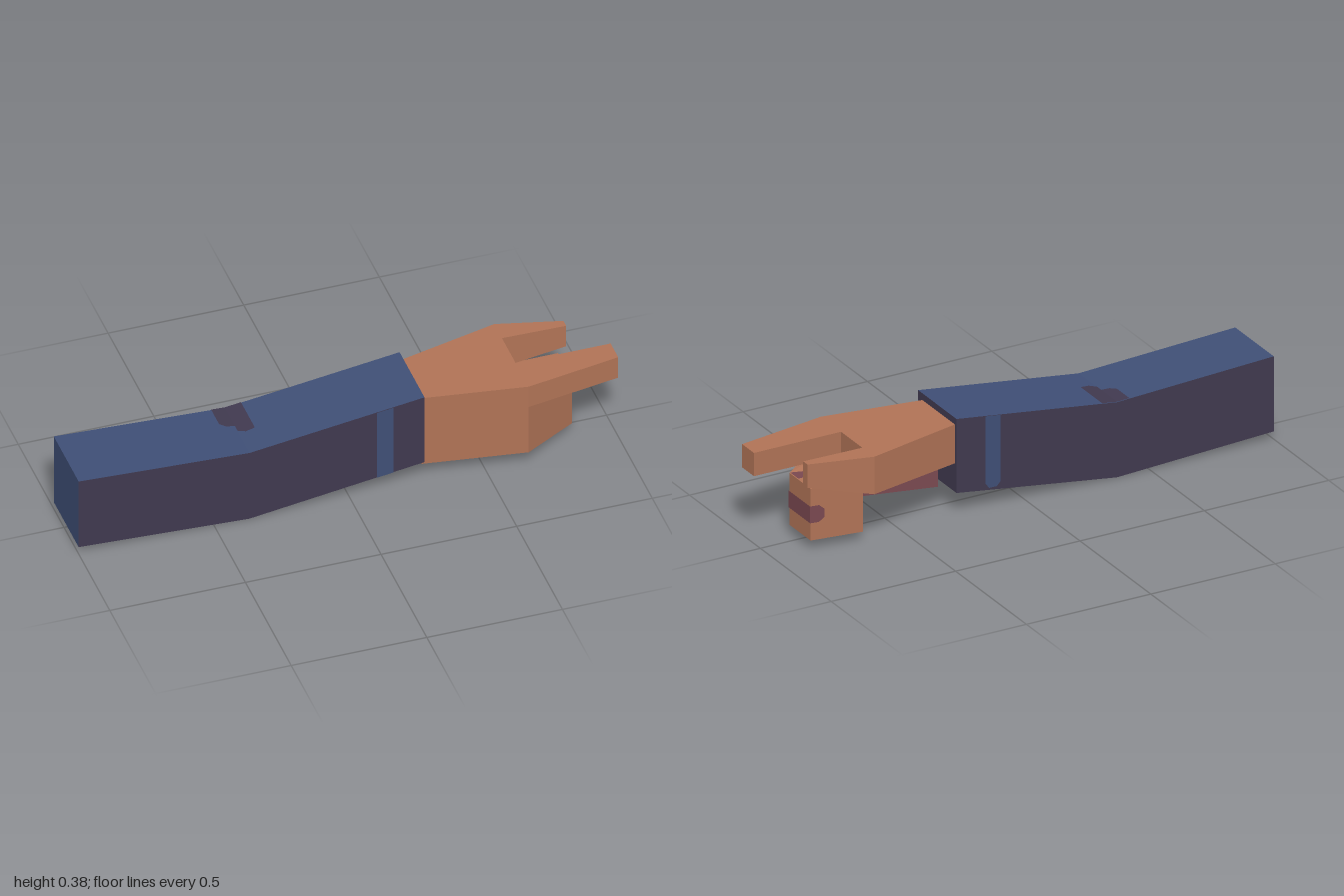
import * as THREE from 'three';

const paint = (name, color) => {
  const m = new THREE.MeshStandardMaterial({ color });
  m.name = name;
  return m;
};

// Faces (convex corner loops, counter-clockwise from outside) to a flat mesh
function faceMesh(name, faces, mats) {
  const pos = [];
  const geo = new THREE.BufferGeometry();
  for (const { loop, mat } of faces) {
    const start = pos.length / 3;
    for (let i = 1; i < loop.length - 1; i++) pos.push(...loop[0], ...loop[i], ...loop[i + 1]);
    geo.addGroup(start, pos.length / 3 - start, mat);
  }
  geo.setAttribute('position', new THREE.Float32BufferAttribute(pos, 3));
  geo.computeVertexNormals();
  const mesh = new THREE.Mesh(geo, mats);
  mesh.name = name;
  return mesh;
}

// Four-sided loft; each section runs +z top, +z bottom, -z bottom, -z top.
// slots: material index for +z side, bottom, -z side, top, start cap, end cap
function loft(name, sections, mats, slots = [0, 0, 0, 0, 0, 0]) {
  const faces = [];
  for (let s = 0; s < sections.length - 1; s++) {
    const a = sections[s], b = sections[s + 1];
    for (let i = 0; i < 4; i++) {
      const j = (i + 1) % 4;
      faces.push({ loop: [a[i], a[j], b[j], b[i]], mat: slots[i] });
    }
  }
  faces.push({ loop: [...sections[0]].reverse(), mat: slots[4] });
  faces.push({ loop: sections[sections.length - 1], mat: slots[5] });
  return faceMesh(name, faces, mats);
}

// Section at x: outer z, inner z, top y, bottom y at both sides
const section = (x, z1, z2, top, low1, low2 = low1) =>
  [[x, top, z1], [x, low1, z1], [x, low2, z2], [x, top, z2]];

export function createModel() {
  const skin = paint('skin', 0xb07356);
  const blue = paint('blue cloth', 0x3f4f76);
  const plum = paint('dark plum cloth', 0x40394f);
  const red = paint('dull red', 0x794850);
  const model = new THREE.Group();
  model.name = 'arm';

  // Bent sleeve: blue top and shoulder end, plum elsewhere
  model.add(loft('sleeve', [
    section(-1, 0.16, -0.112, 0.32, 0.03),
    section(-0.37, 0.16, -0.112, 0.29, 0),
    section(0.275, 0.16, -0.112, 0.376, 0.09),
  ], [plum, blue], [0, 0, 0, 1, 1, 0]));

  // Cuff stripes on both sides of the sleeve
  const stripes = new THREE.Group();
  stripes.name = 'cuffStripes';
  stripes.add(faceMesh('frontStripe', [{ mat: 0, loop: [
    [0.1, 0.352, 0.162], [0.1, 0.066, 0.162], [0.16, 0.074, 0.162], [0.16, 0.36, 0.162],
  ] }], [blue]));
  stripes.add(faceMesh('backStripe', [{ mat: 0, loop: [
    [0.16, 0.36, -0.114], [0.16, 0.1, -0.114], [0.145, 0.08, -0.114],
    [0.115, 0.08, -0.114], [0.1, 0.095, -0.114], [0.1, 0.352, -0.114],
  ] }], [blue]));
  model.add(stripes);

  // Elbow patch folded over the bend
  const sleeveTop = x => 0.292 + (x < -0.37 ? (-0.37 - x) * 0.048 : (x + 0.37) * 0.133);
  const onTop = pts => pts.map(([x, z]) => [x, sleeveTop(x), z]);
  model.add(faceMesh('elbowPatch', [
    { mat: 0, loop: onTop([[-0.42, -0.112], [-0.42, -0.025], [-0.4, -0.005], [-0.37, 0], [-0.37, -0.112]]) },
    { mat: 0, loop: onTop([[-0.37, -0.112], [-0.37, 0.03], [-0.345, 0.045], [-0.31, 0.04], [-0.31, -0.112]]) },
  ], [plum]));

  // Hand: outer wall with a red palm, and the slab that leads to the thumb
  const hand = new THREE.Group();
  hand.name = 'hand';
  hand.add(loft('palm', [
    section(0.275, 0.13, 0.02, 0.35, 0.06),
    section(0.65, 0.187, 0.11, 0.35, 0.06),
  ], [skin, red], [0, 0, 1, 0, 0, 0]));
  hand.add(loft('thumbBase', [
    section(0.275, 0.02, -0.1, 0.35, 0.26, 0.2),
    section(0.65, 0.11, -0.19, 0.35, 0.26, 0.205),
  ], [skin]));
  hand.add(loft('indexFinger', [
    section(0.65, 0.187, 0.045, 0.35, 0.26),
    section(1, 0.128, 0.045, 0.35, 0.26),
  ], [skin]));
  hand.add(loft('thumb', [
    section(0.65, -0.105, -0.19, 0.35, 0.221, 0.205),
    section(0.885, -0.1, -0.13, 0.35, 0.26),
  ], [skin]));

  // Curled fingers: outer x z, inner x z, top y, bottom y
  const curl = [
    [0.65, 0.187, 0.65, 0.11, 0.26, 0.06],
    [0.855, 0.05, 0.79, 0.03, 0.237, 0.037],
    [0.855, -0.1, 0.83, -0.05, 0.237, 0.037],
    [0.66, -0.127, 0.66, -0.075, 0.215, 0.037],
  ];
  hand.add(loft('curledFingers', curl.map(([ox, oz, ix, iz, t, b]) =>
    [[ox, t, oz], [ox, b, oz], [ix, b, iz], [ix, t, iz]]), [skin]));

  // Red marks: band round the fingers and a spot on top of them
  hand.add(faceMesh('fingerBand', [
    { mat: 0, loop: [[0.858, 0.17, 0.05], [0.858, 0.105, 0.05], [0.858, 0.105, -0.102], [0.858, 0.17, -0.102]] },
    { mat: 0, loop: [[0.858, 0.17, -0.102], [0.858, 0.105, -0.102], [0.825, 0.105, -0.107],
      [0.805, 0.122, -0.11], [0.805, 0.153, -0.11], [0.825, 0.17, -0.107]] },
  ], [red]));
  hand.add(faceMesh('fingerSpot', [{ mat: 0, loop: [
    [0.825, 0.24, -0.012], [0.8, 0.24, 0.03], [0.854, 0.24, 0.046], [0.854, 0.24, -0.012],
  ] }], [red]));
  model.add(hand);
  return model;
}
